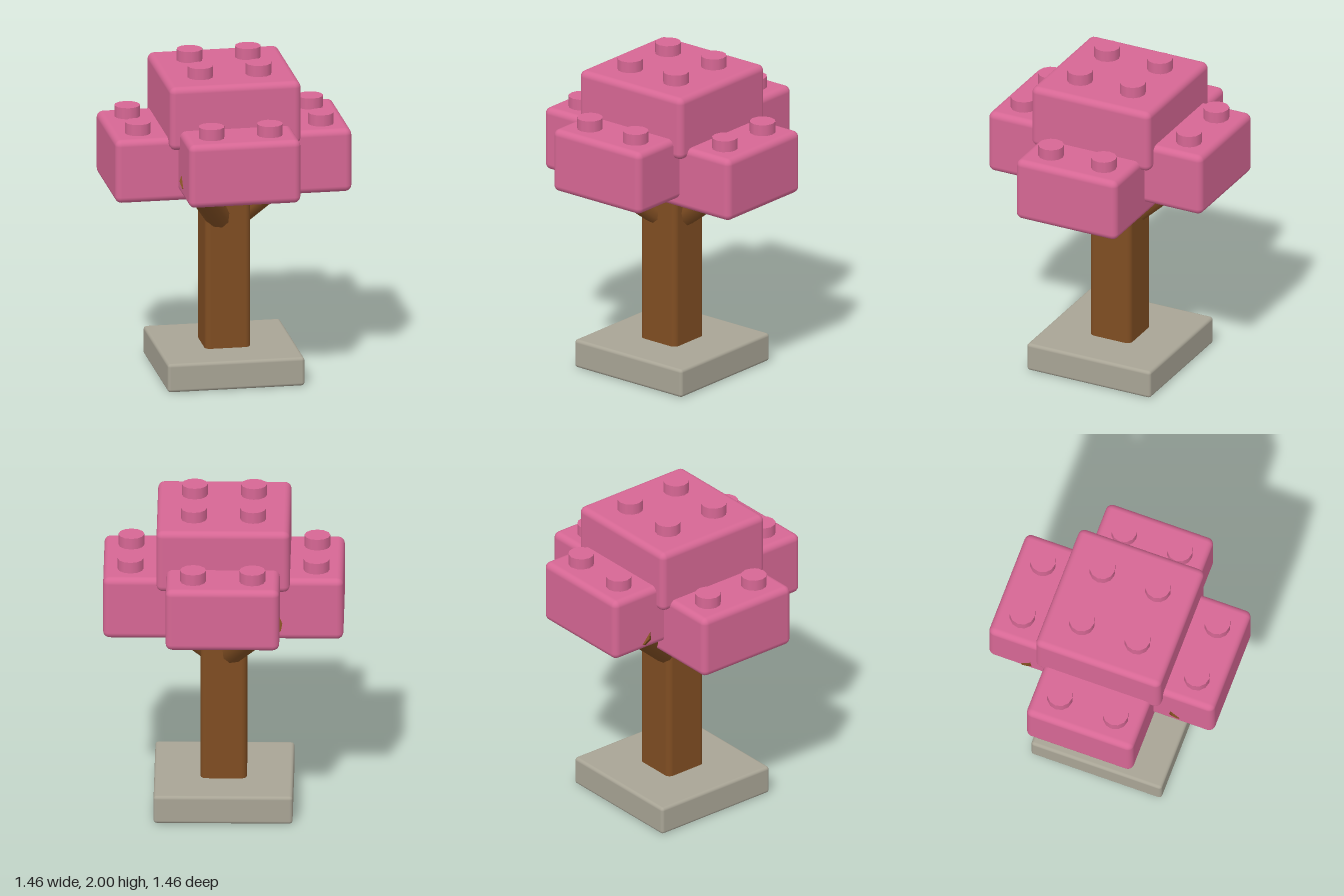
import * as THREE from 'three';
import { RoundedBoxGeometry } from 'three/addons/geometries/RoundedBoxGeometry.js';

function material(name, color, flatShading = false) {
  const m = new THREE.MeshStandardMaterial({ color, flatShading });
  m.name = name;
  return m;
}

export function createModel() {
  const tree = new THREE.Group();
  tree.name = 'blockTree';
  const pink = material('blossomPink', 0xd66794);
  const brown = material('barkBrown', 0x7f4d22);
  const grey = material('stoneGrey', 0xa8a495);

  const add = (parent, name, geometry, mat, x, y, z) => {
    const mesh = new THREE.Mesh(geometry, mat);
    mesh.name = name;
    mesh.position.set(x, y, z);
    parent.add(mesh);
    return mesh;
  };

  // Rounded box given by its size, bottom height and centre
  const block = (parent, name, mat, w, h, x, y, z, radius) =>
    add(parent, name, new RoundedBoxGeometry(w, h, w, 3, radius), mat, x, y + h / 2, z);

  // Base and trunk
  block(tree, 'base', grey, 0.845, 0.18, 0, 0.005, 0, 0.02);
  block(tree, 'trunk', brown, 0.28, 1.14, 0, 0.1, 0, 0.035);

  // Three branches, spread evenly around the trunk
  const up = new THREE.Vector3(0, 1, 0);
  const start = new THREE.Vector3(0, 0.93, 0);
  for (let i = 0; i < 3; i++) {
    const a = (i * Math.PI * 2) / 3;
    const end = new THREE.Vector3(0.58 * Math.cos(a), 1.375, 0.58 * Math.sin(a));
    const dir = end.clone().sub(start);
    const mid = start.clone().add(end).multiplyScalar(0.5);
    const geometry = new THREE.CylinderGeometry(0.078, 0.078, dir.length(), 10);
    const branch = add(tree, 'branch', geometry, brown, mid.x, mid.y, mid.z);
    branch.quaternion.setFromUnitVectors(up, dir.normalize());
  }

  // Foliage blocks: name, width, centre x, bottom y, centre z
  const studGeometry = new THREE.CylinderGeometry(0.079, 0.079, 0.09, 12);
  const foliage = [
    ['topFoliage', 0.81, 0, 1.53, 0],
    ['frontFoliage', 0.69, 0, 1.257, 0.385],
    ['backFoliage', 0.69, 0, 1.285, -0.385],
    ['leftFoliage', 0.69, 0.385, 1.195, 0],
    ['rightFoliage', 0.69, -0.385, 1.195, 0],
  ];
  for (const [name, width, x, y, z] of foliage) {
    const group = new THREE.Group();
    group.name = name;
    tree.add(group);
    block(group, 'leafBlock', pink, width, 0.4, x, y, z, 0.04);
    // Four round studs on top
    for (const sx of [-1, 1])
      for (const sz of [-1, 1])
        add(group, 'stud', studGeometry, pink, x + sx * 0.18, y + 0.425, z + sz * 0.18);
  }
  return tree;
}
